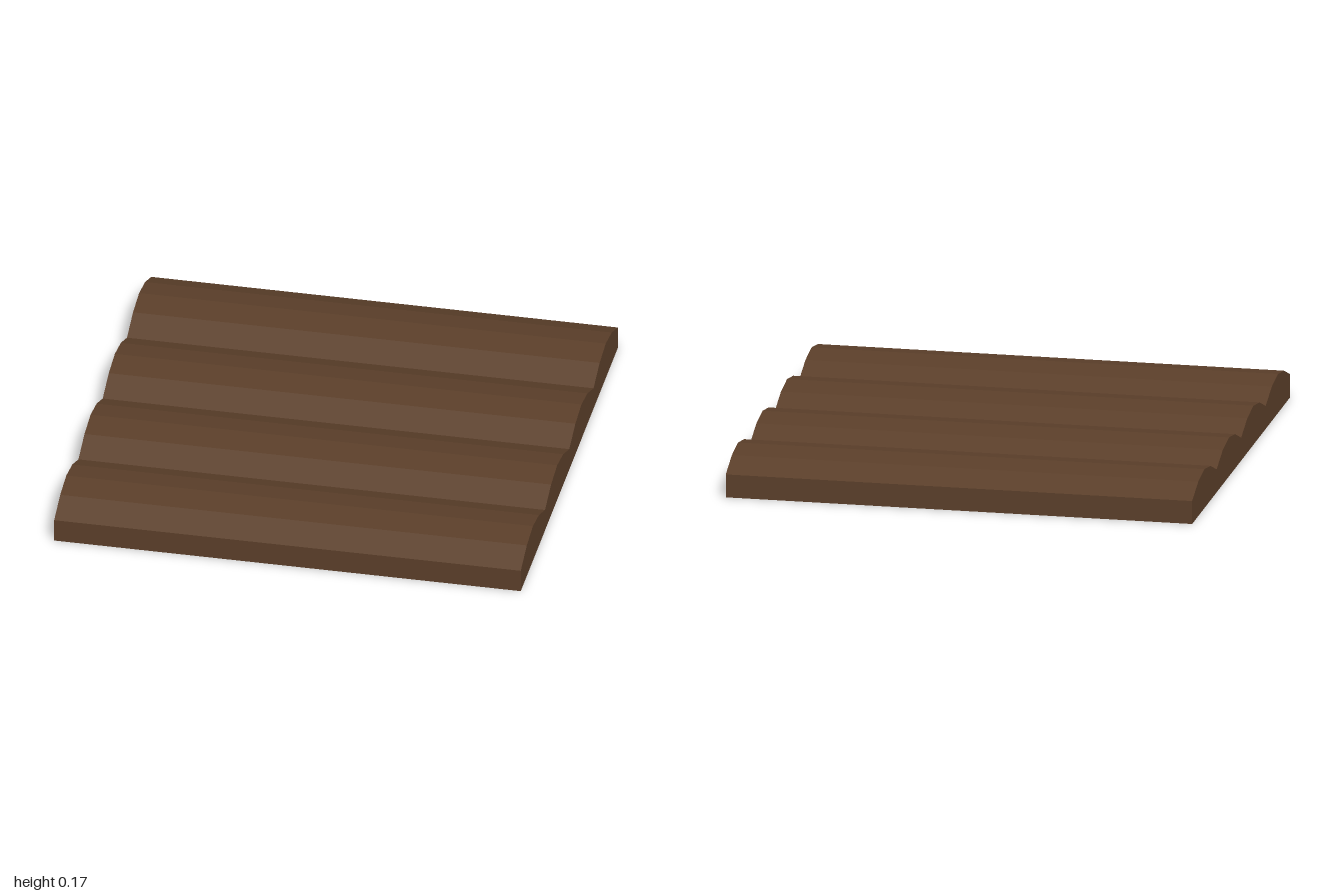
import * as THREE from 'three';

export function createModel() {
  const model = new THREE.Group();
  model.name = 'ridgedPanel';
  const wood = new THREE.MeshStandardMaterial({ color: 0x5a3e29 });
  wood.name = 'dark brown wood';

  const width = 2, ridges = 4, pitch = 0.5;
  const heights = [0.1, 0.15, 0.17, 0.15]; // faceted hump, repeated per ridge

  // Side profile: flat underside with four rounded ridges on top
  const profile = new THREE.Shape();
  profile.moveTo(-1, 0);
  profile.lineTo(1, 0);
  profile.lineTo(1, heights[0]);
  const steps = ridges * heights.length;
  for (let i = 1; i <= steps; i++) {
    profile.lineTo(1 - (i * pitch) / heights.length, heights[i % heights.length]);
  }
  profile.closePath();

  // Extrude the profile across the panel, ridges running left to right
  const geometry = new THREE.ExtrudeGeometry(profile, { depth: width, bevelEnabled: false });
  geometry.translate(0, 0, -width / 2);
  geometry.rotateY(Math.PI / 2);

  const panel = new THREE.Mesh(geometry, wood);
  panel.name = 'corrugatedSlab';
  model.add(panel);
  return model;
}
